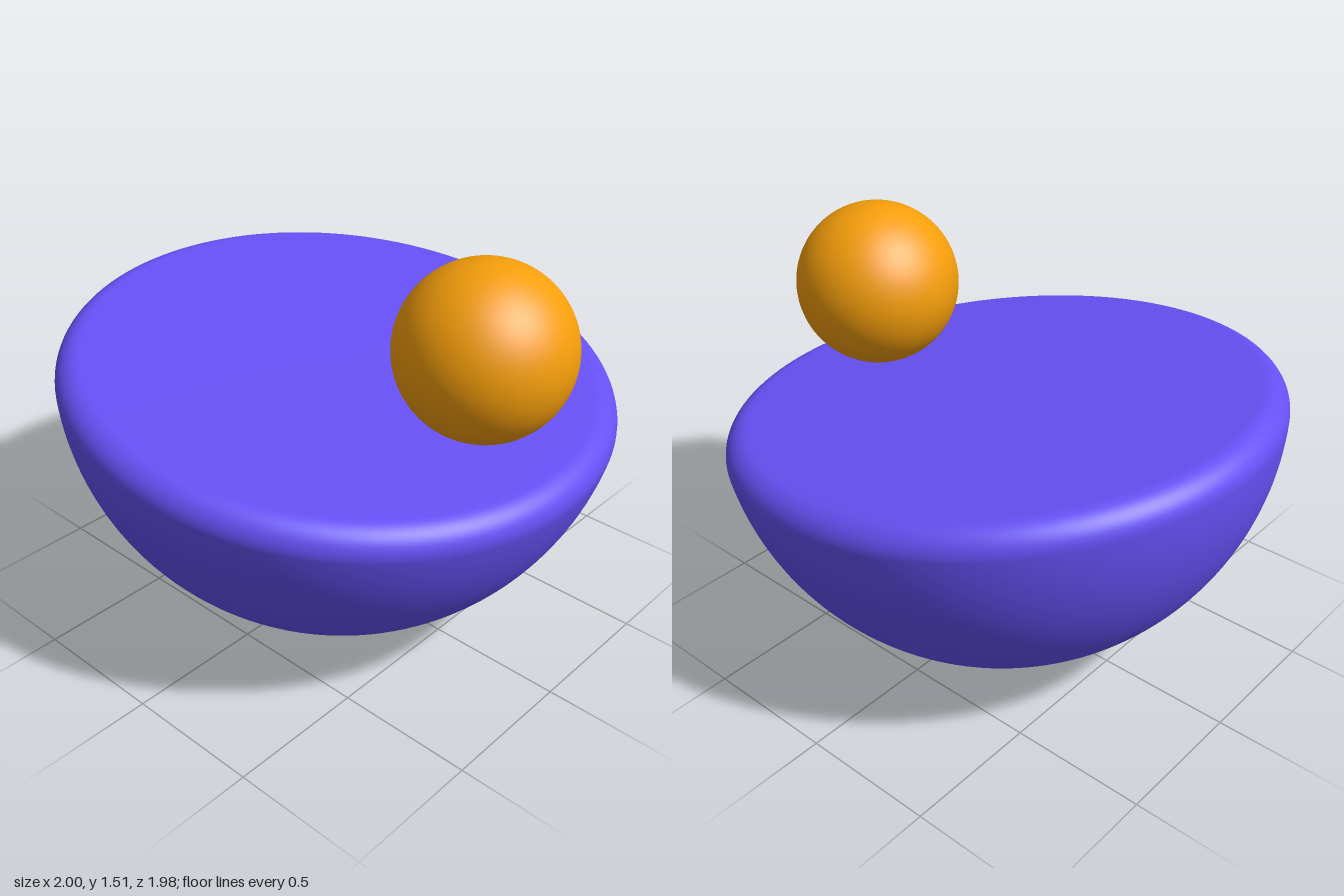
import * as THREE from 'three';

// Half-round bowl profile: sphere arc, rounded rim, flat top
function bowlProfile(R, top, fillet) {
  const pts = [];
  const cy = top - fillet;
  const cx = Math.sqrt((R - fillet) ** 2 - cy ** 2);
  const start = Math.atan2(cy, cx); // where the rim arc meets the sphere
  const arc = (x, y, r, a, b, n) => {
    for (let i = 0; i <= n; i++) {
      const t = a + (b - a) * i / n;
      pts.push(new THREE.Vector2(Math.max(0, x + r * Math.cos(t)), y + r * Math.sin(t)));
    }
  };
  arc(0, 0, R, -Math.PI / 2, start, 48);
  pts.pop();
  arc(cx, cy, fillet, start, Math.PI / 2, 16);
  for (const f of [0.99, 0.6, 0.3, 0]) pts.push(new THREE.Vector2(cx * f, top));
  return pts;
}

export function createModel() {
  const group = new THREE.Group();

  // Solid half-sphere, tipped down towards the front
  const R = 1.008;
  const base = new THREE.Mesh(
    new THREE.LatheGeometry(bowlProfile(R, -0.03, 0.09), 128),
    new THREE.MeshStandardMaterial({ color: 0x6750f5 })
  );
  base.name = 'halfSphereBase';
  base.position.set(0, R, 0.016);
  base.rotation.x = THREE.MathUtils.degToRad(7.4);
  group.add(base);

  // Ball resting on the sloped top near the front
  const ball = new THREE.Mesh(
    new THREE.SphereGeometry(0.302, 64, 48),
    new THREE.MeshStandardMaterial({ color: 0xf59e0b })
  );
  ball.name = 'ball';
  ball.position.set(0, 1.209, 0.632);
  group.add(ball);

  return group;
}
